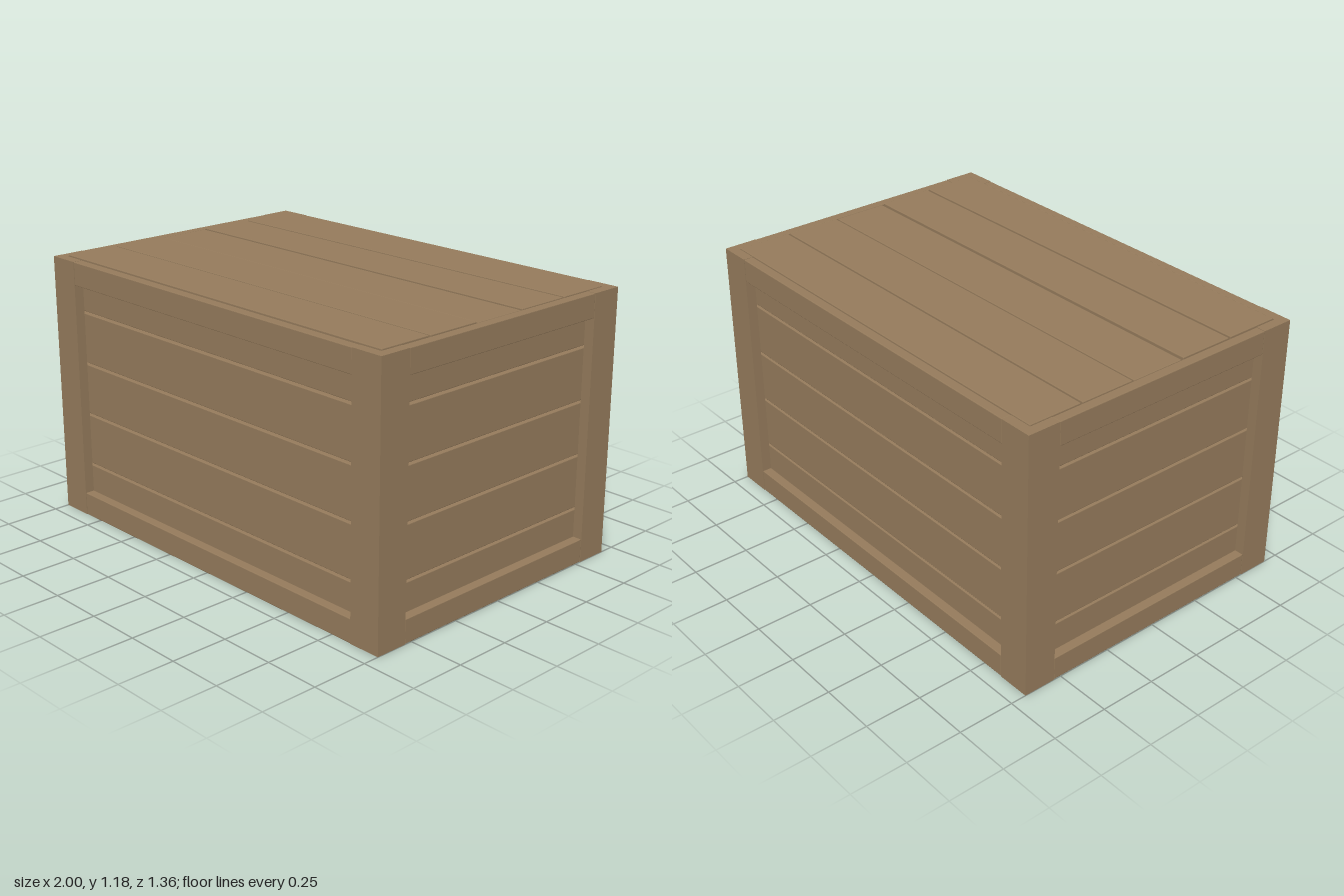
import * as THREE from 'three';
import { RoundedBoxGeometry } from 'three/addons/geometries/RoundedBoxGeometry.js';

const wood = new THREE.MeshStandardMaterial({ color: 0x947a5b });
wood.name = 'wood';

// Outer half sizes, height, and layer thicknesses
const X = 1, Z = 0.68, H = 1.172;
const FRAME = 0.044, PLANK = 0.035, LEG = 0.147;
const GAP = 0.01;

export function createModel() {
  const crate = new THREE.Group();
  crate.name = 'woodenCrate';

  // Board between two corners, with a tiny chamfer
  function board(name, [x0, x1], [y0, y1], [z0, z1], parent = crate) {
    const geo = new RoundedBoxGeometry(x1 - x0, y1 - y0, z1 - z0, 1, 0.003);
    geo.computeVertexNormals();
    const mesh = new THREE.Mesh(geo, wood);
    mesh.name = name;
    mesh.position.set((x0 + x1) / 2, (y0 + y1) / 2, (z0 + z1) / 2);
    parent.add(mesh);
    return mesh;
  }
  const span = (s, a, b) => (s > 0 ? [a, b] : [-b, -a]);
  const xWall = X - FRAME, zWall = Z - FRAME;      // outer face of the planks
  const xIn = xWall - PLANK, zIn = zWall - PLANK;  // inner face of the planks
  const lidBottom = H - 0.035;

  // L-shaped corner posts
  const L = new THREE.Shape([
    [X, Z], [X - LEG, Z], [X - LEG, zWall], [xWall, zWall], [xWall, Z - LEG], [X, Z - LEG],
  ].map(([x, z]) => new THREE.Vector2(x, z)));
  const postGeo = new THREE.ExtrudeGeometry(L, { depth: H, bevelEnabled: false });
  postGeo.rotateX(-Math.PI / 2); // height becomes y, shape lies at (+x, -z)
  const mirrored = new THREE.ExtrudeGeometry(
    new THREE.Shape(L.getPoints().map((p) => new THREE.Vector2(p.x, -p.y))),
    { depth: H, bevelEnabled: false });
  mirrored.rotateX(-Math.PI / 2);
  [postGeo, mirrored].forEach((geo) => {
    for (const turn of [0, Math.PI]) {
      const post = new THREE.Mesh(geo, wood);
      post.name = 'cornerPost';
      post.rotation.y = turn;
      crate.add(post);
    }
  });

  // Square posts inside the corners
  for (const sx of [-1, 1]) for (const sz of [-1, 1]) {
    board('innerPost', span(sx, xIn - 0.07, xIn), [0, lidBottom], span(sz, zIn - 0.07, zIn));
  }

  // Walls: five planks each, plus a rail at the top and bottom
  const seams = [0, 0.232, 0.47, 0.706, 0.941, lidBottom];
  for (const s of [-1, 1]) {
    const longWall = new THREE.Group();
    longWall.name = s > 0 ? 'frontWall' : 'backWall';
    const endWall = new THREE.Group();
    endWall.name = s > 0 ? 'leftWall' : 'rightWall';
    crate.add(longWall, endWall);
    for (let i = 0; i < 5; i++) {
      const y = [seams[i] + (i ? GAP / 2 : 0), seams[i + 1] - (i < 4 ? GAP / 2 : 0)];
      board('wallPlank', [-xWall, xWall], y, span(s, zIn, zWall), longWall);
      board('wallPlank', span(s, xIn, xWall), y, [-zIn, zIn], endWall);
    }
    for (const y of [[0, 0.104], [1.068, H]]) {
      board('rail', [-X + LEG, X - LEG], y, span(s, zWall, Z - 0.001), longWall);
      board('rail', span(s, xWall, X - 0.001), y, [-Z + LEG, Z - LEG], endWall);
    }
  }

  // Lid planks resting on the walls, flush inside the frame
  const lid = new THREE.Group();
  lid.name = 'lid';
  crate.add(lid);
  const lidSeams = [-0.639, -0.388, -0.132, 0.124, 0.383, 0.636];
  const tops = [1.176, 1.175, 1.172, 1.177, 1.178];
  for (let i = 0; i < 5; i++) {
    board('lidPlank', [-xWall + 0.003, xWall - 0.003], [lidBottom, tops[i]],
      [lidSeams[i] + 0.005, lidSeams[i + 1] - 0.005], lid);
  }
  return crate;
}
